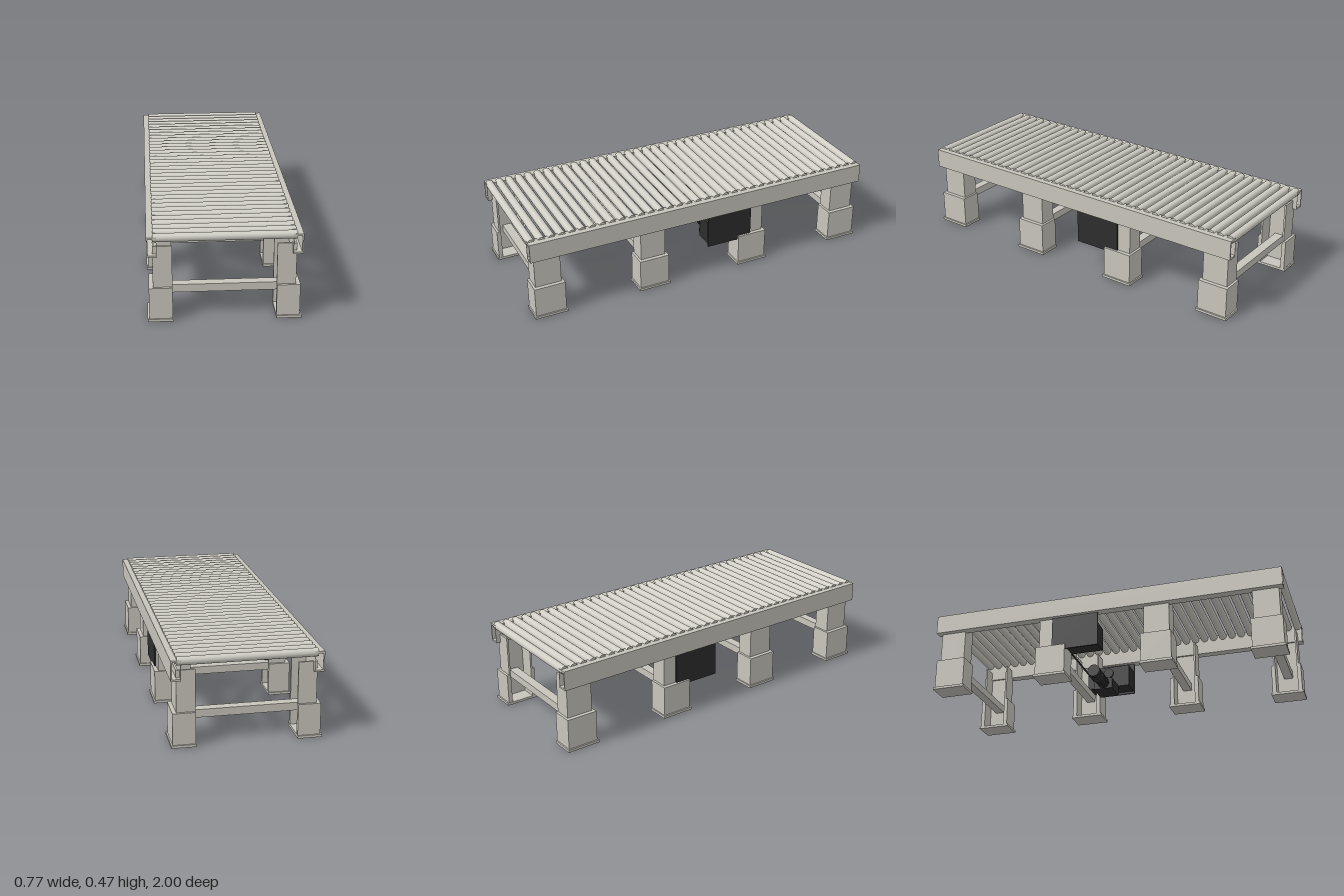
import * as THREE from 'three';

const steel = new THREE.MeshStandardMaterial({ color: 0xc8c5bc });
steel.name = 'painted steel';
const rollerMetal = new THREE.MeshStandardMaterial({ color: 0xd0cec5 });
rollerMetal.name = 'roller metal';
const dark = new THREE.MeshStandardMaterial({ color: 0x2d2d2d });
dark.name = 'dark drive';

// Box given by its minimum and maximum on each axis
function box(parent, name, mat, x0, x1, y0, y1, z0, z1) {
  const mesh = new THREE.Mesh(new THREE.BoxGeometry(Math.abs(x1 - x0), y1 - y0, z1 - z0), mat);
  mesh.position.set((x0 + x1) / 2, (y0 + y1) / 2, (z0 + z1) / 2);
  mesh.name = name;
  parent.add(mesh);
  return mesh;
}

// Cylinder lying along x
function rod(parent, name, mat, x0, x1, y, z, r, sides = 24) {
  const geo = new THREE.CylinderGeometry(r, r, Math.abs(x1 - x0), sides).rotateZ(Math.PI / 2);
  const mesh = new THREE.Mesh(geo, mat);
  mesh.position.set((x0 + x1) / 2, y, z);
  mesh.name = name;
  parent.add(mesh);
  return mesh;
}

function group(parent, name) {
  const g = new THREE.Group();
  g.name = name;
  parent.add(g);
  return g;
}

// Hollow side rail running the whole length, s is the side sign
function addRail(parent, s) {
  const g = group(parent, s > 0 ? 'leftRail' : 'rightRail');
  box(g, 'railWeb', steel, s * 0.376, s * 0.383, 0.352, 0.458, -1, 1);
  box(g, 'railTop', steel, s * 0.333, s * 0.376, 0.447, 0.458, -1, 1);
  box(g, 'railBottom', steel, s * 0.333, s * 0.376, 0.352, 0.362, -1, 1);
  box(g, 'railInnerWall', steel, s * 0.333, s * 0.335, 0.362, 0.447, -1, 1);
}

// Channel leg, open towards the middle, in a wider foot sleeve on a plate
function addLeg(parent, s, z) {
  const g = group(parent, 'leg');
  box(g, 'postWeb', steel, s * 0.344, s * 0.354, 0.014, 0.4, z - 0.072, z + 0.072);
  box(g, 'sleeveWeb', steel, s * 0.354, s * 0.375, 0.014, 0.18, z - 0.085, z + 0.085);
  for (const d of [-1, 1]) {
    const flange = (name, a, b, y1, x1) =>
      box(g, name, steel, s * 0.258, s * x1, 0.014, y1, z + Math.min(d * a, d * b), z + Math.max(d * a, d * b));
    flange('postFlange', 0.062, 0.072, 0.4, 0.344);
    flange('sleeveFlange', 0.072, 0.085, 0.18, 0.354);
  }
  box(g, 'footPlate', steel, s * 0.257, s * 0.383, 0, 0.014, z - 0.092, z + 0.092);
}

// Chain guard at one side with its sprocket hubs
function addGuard(parent, s) {
  const g = group(parent, s > 0 ? 'leftGuard' : 'rightGuard');
  box(g, 'guardPanel', dark, s * 0.354, s * 0.363, 0.157, 0.352, -0.297, -0.03);
  box(g, 'guardBody', dark, s * 0.25, s * 0.356, 0.17, 0.3, -0.29, -0.035);
  rod(g, 'upperHub', dark, s * 0.24, s * 0.252, 0.258, -0.16, 0.03);
  rod(g, 'shaftHub', dark, s * 0.24, s * 0.252, 0.19, -0.23, 0.022);
}

export function createModel() {
  const model = new THREE.Group();
  model.name = 'rollerConveyor';

  for (const s of [-1, 1]) {
    addRail(model, s);
    addGuard(model, s);
  }

  // Four frames of two legs and a cross beam
  for (const z of [-0.903, -0.302, 0.302, 0.903]) {
    const frame = group(model, 'legFrame');
    for (const s of [-1, 1]) addLeg(frame, s, z);
    box(frame, 'crossBeam', steel, -0.344, 0.344, 0.127, 0.169, z - 0.025, z + 0.025);
  }

  // Row of rollers
  const rollers = group(model, 'rollers');
  const count = 36;
  for (let i = 0; i < count; i++) {
    rod(rollers, 'roller', rollerMetal, -0.352, 0.352, 0.4485, -0.9785 + (1.957 * i) / (count - 1), 0.0215);
  }

  // Drive motor, gearbox and cross shaft
  const drive = group(model, 'drive');
  rod(drive, 'driveShaft', dark, -0.25, 0.25, 0.19, -0.23, 0.005, 12);
  box(drive, 'gearbox', dark, 0.12, 0.25, 0.107, 0.172, -0.21, -0.1);
  rod(drive, 'motorBody', dark, -0.04, 0.12, 0.142, -0.15, 0.032);
  rod(drive, 'motorFlange', dark, 0, 0.03, 0.142, -0.15, 0.036);
  rod(drive, 'fanCover', dark, -0.07, -0.04, 0.142, -0.15, 0.036);
  for (let i = 0; i < 6; i++) {
    const x = 0.04 + i * 0.013;
    rod(drive, 'coolingFin', dark, x, x + 0.005, 0.142, -0.15, 0.034);
  }
  return model;
}
